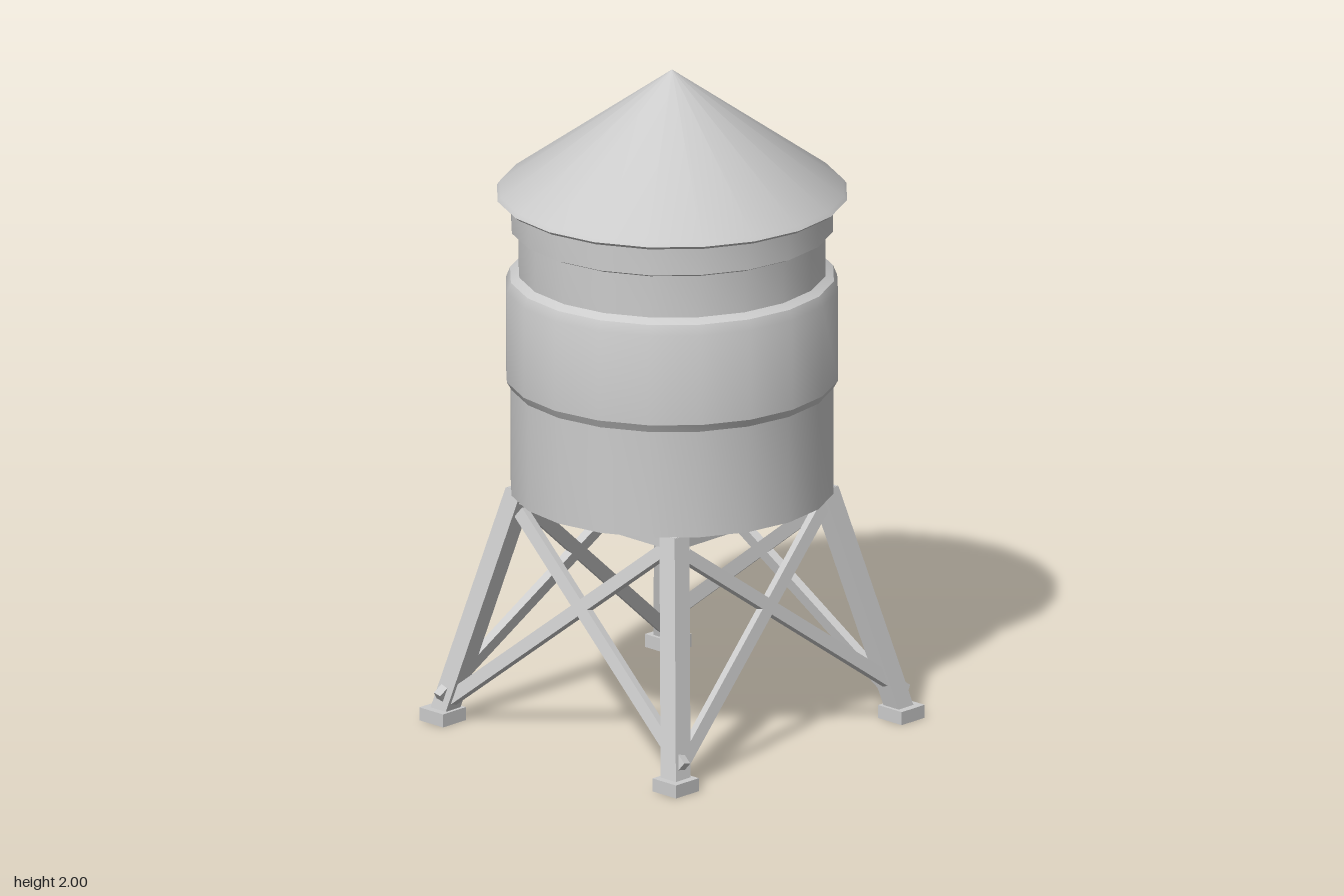
import * as THREE from 'three';
import { toCreasedNormals } from 'three/addons/utils/BufferGeometryUtils.js';

const material = new THREE.MeshStandardMaterial({ color: 0xcccccc });
const SIDES = 20;
const FOOT = 0.468, TOP = 0.313; // leg centre offsets at the ground and under the tank
const LOW = 0.04, HIGH = 0.715;

function add(parent, name, geometry) {
  const mesh = new THREE.Mesh(geometry, material);
  mesh.name = name;
  parent.add(mesh);
  return mesh;
}

// Round part from [radius, height] pairs, bottom to top
function lathe(profile) {
  const points = profile.map(([r, y]) => new THREE.Vector2(r, y));
  return toCreasedNormals(new THREE.LatheGeometry(points, SIDES), 0.5);
}

// Distance of the tower's face from the centre at a given height
const legOffset = (y) => THREE.MathUtils.mapLinear(y, LOW, HIGH, FOOT, TOP);

// Square post whose ends stay level and lean inward on both axes
function legGeometry() {
  const geometry = new THREE.BoxGeometry(0.062, HIGH - LOW, 0.062);
  geometry.translate(0, (HIGH + LOW) / 2, 0);
  const p = geometry.attributes.position;
  for (let i = 0; i < p.count; i++) {
    const d = legOffset(p.getY(i));
    p.setXYZ(i, p.getX(i) + d, p.getY(i), p.getZ(i) + d);
  }
  geometry.computeVertexNormals();
  return geometry;
}

// Bar between two points, lying flat in the sloping face of the tower
function braceGeometry(from, to) {
  const along = to.clone().sub(from);
  const length = along.length();
  along.normalize();
  const slope = (FOOT - TOP) / (HIGH - LOW);
  const out = new THREE.Vector3(0, slope, 1).normalize();
  const across = new THREE.Vector3().crossVectors(out, along).normalize();
  out.crossVectors(along, across);
  const geometry = new THREE.BoxGeometry(length, 0.04, 0.026);
  geometry.applyMatrix4(new THREE.Matrix4().makeBasis(along, across, out));
  const mid = from.clone().add(to).multiplyScalar(0.5);
  return geometry.translate(mid.x, mid.y, mid.z);
}

export function createModel() {
  const model = new THREE.Group();
  model.name = 'waterTower';

  // Tank with a wide middle band, a neck and an upper band
  add(model, 'tank', lathe([
    [0, 0.715], [0.476, 0.715], [0.476, 1.04], [0.49, 1.065],
    [0.49, 1.34], [0.478, 1.37], [0.453, 1.385], [0.453, 1.512],
    [0.475, 1.522], [0.475, 1.615],
  ]));

  // Conical roof with a thin overhanging rim
  add(model, 'roof', lathe([
    [0, 1.612], [0.505, 1.612], [0.517, 1.622], [0.508, 1.634], [0, 2],
  ]));

  // Four equal sides: leg, foot pad, top beam and crossed braces
  const leg = legGeometry();
  const point = (x, y) => new THREE.Vector3(x, y, legOffset(y) + 0.006);
  const braceA = braceGeometry(point(-0.29, 0.65), point(0.498, 0.075));
  const braceB = braceGeometry(point(-0.46, 0.06), point(0.29, 0.665));
  for (let i = 0; i < 4; i++) {
    const side = new THREE.Group();
    side.name = 'frameSide';
    side.rotation.y = i * Math.PI / 2;
    add(side, 'leg', leg);
    add(side, 'footPad', new THREE.BoxGeometry(0.096, 0.04, 0.096))
      .position.set(0.474, 0.02, 0.474);
    add(side, 'topBeam', new THREE.BoxGeometry(0.684, 0.04, 0.04))
      .position.set(0, 0.696, 0.322);
    add(side, 'brace', braceA);
    add(side, 'brace', braceB);
    model.add(side);
  }
  return model;
}
